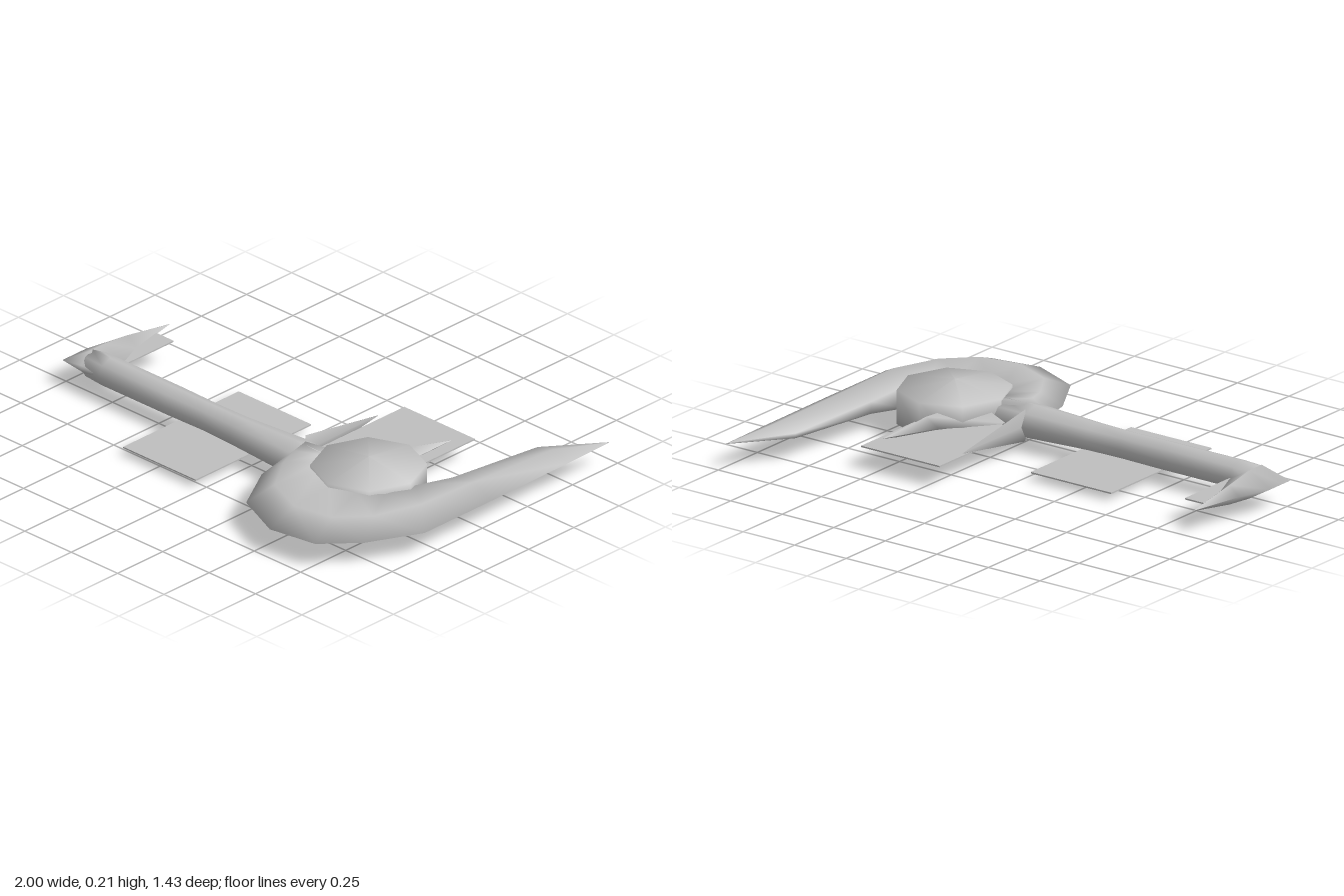
import * as THREE from 'three';

const MID = 0.105; // height of the central plane

// Skin a list of equal-length rings of [x, y, z] points, with both ends capped
function loft(rings) {
  const n = rings[0].length, pos = [], idx = [];
  rings.forEach(r => r.forEach(p => pos.push(...p)));
  for (let i = 0; i < rings.length - 1; i++) {
    for (let j = 0; j < n; j++) {
      const a = i * n + j, b = i * n + (j + 1) % n;
      idx.push(a, b, b + n, a, b + n, a + n);
    }
  }
  const last = (rings.length - 1) * n;
  for (let j = 1; j < n - 1; j++) {
    idx.push(0, j + 1, j);
    idx.push(last, last + j, last + j + 1);
  }
  const g = new THREE.BufferGeometry();
  g.setAttribute('position', new THREE.Float32BufferAttribute(pos, 3));
  g.setIndex(idx);
  g.computeVertexNormals();
  return g;
}

// Diamond-section spike along -z; rows are [z, x min, x max, ridge x, half height]
function spike(rows) {
  return loft(rows.map(([z, x0, x1, xr, h]) => [
    [xr, MID + h, z], [x1, MID, z], [xr, MID - h, z], [x0, MID, z]
  ]));
}

export function createModel() {
  const group = new THREE.Group();
  const steel = new THREE.MeshStandardMaterial({ color: 0xbfbfbf, side: THREE.DoubleSide });
  steel.name = 'grey steel';
  const add = (name, geometry) => {
    const mesh = new THREE.Mesh(geometry, steel);
    mesh.name = name;
    group.add(mesh);
    return mesh;
  };

  // Handle: rows are [x, z centre, half width in z, half height]
  const handleRows = [
    [-0.9, 0.205, 0.06, 0.058], [-0.8, 0.21, 0.065, 0.06], [-0.45, 0.21, 0.064, 0.06],
    [-0.26, 0.21, 0.06, 0.058], [-0.1, 0.212, 0.066, 0.059], [0.19, 0.21, 0.088, 0.068],
    [0.36, 0.21, 0.08, 0.066]
  ];
  add('handle', loft(handleRows.map(([x, zc, w, h]) => {
    const ring = [];
    for (let k = 0; k < 8; k++) {
      const a = k * Math.PI / 4;
      ring.push([x, MID + h * Math.cos(a), zc + w * Math.sin(a)]);
    }
    return ring;
  })));

  // Pommel spike at the far end of the handle
  add('pommelSpike', spike([
    [0.27, -1, -0.8, -0.9, 0.012], [0.22, -1, -0.8, -0.9, 0.058], [0.14, -1, -0.8, -0.9, 0.058],
    [0.0, -0.955, -0.86, -0.91, 0.04], [-0.23, -0.911, -0.909, -0.91, 0.001]
  ]));

  // Crescent blade: rows are [outer x, z, inner x, z, bevel share, ridge half height, inner half height]
  const bladeRows = [
    [0.19, 0.2, 0.36, 0.16, 0.25, 0.068, 0.066],
    [0.19, 0.3, 0.36, 0.22, 0.35, 0.066, 0.066],
    [0.21, 0.41, 0.38, 0.28, 0.4, 0.06, 0.064],
    [0.33, 0.62, 0.44, 0.34, 0.4, 0.052, 0.062],
    [0.55, 0.715, 0.55, 0.38, 0.4, 0.052, 0.06],
    [0.76, 0.68, 0.66, 0.35, 0.4, 0.052, 0.06],
    [0.89, 0.54, 0.74, 0.27, 0.4, 0.054, 0.056],
    [1, 0.32, 0.76, 0.12, 0.42, 0.056, 0.045],
    [1, -0.05, 0.79, -0.05, 0.45, 0.048, 0.025],
    [0.995, -0.48, 0.83, -0.48, 0.45, 0.034, 0.01],
    [0.99, -0.715, 0.985, -0.71, 0.5, 0.001, 0.001]
  ];
  add('crescentBlade', loft(bladeRows.map(([ox, oz, ix, iz, t, h, hi]) => {
    const rx = ox + (ix - ox) * t, rz = oz + (iz - oz) * t;
    return [
      [rx, MID + h, rz], [ox, MID, oz], [rx, MID - h, rz], [ix, MID - hi, iz], [ix, MID + hi, iz]
    ];
  })));

  // Eight-sided hub disc with shallow domed faces
  const profile = [[0, 0.005], [0.226, 0.04], [0.226, 0.18], [0, 0.215]]
    .map(([r, y]) => new THREE.Vector2(r, y));
  const hub = add('hubDisc', new THREE.LatheGeometry(profile, 8));
  hub.position.set(0.548, 0, 0.165);

  // Barb pointing back from the hub
  add('backBarb', spike([
    [0.125, 0.27, 0.57, 0.42, 0.062], [-0.08, 0.44, 0.54, 0.5, 0.035],
    [-0.3, 0.539, 0.541, 0.54, 0.001]
  ]));

  // Thin upright fin beside the handle
  add('uprightFin', spike([
    [0.15, 0.191, 0.197, 0.194, 0.066], [-0.25, 0.193, 0.195, 0.194, 0.001]
  ]));

  // Flat plates: [name, x min, x max, z min, z max, y]
  [
    ['handlePlate', -0.42, -0.03, -0.11, 0.53, 0.035],
    ['hubPlate', 0.2, 0.58, -0.39, 0.24, 0.09],
    ['pommelPlate', -0.92, -0.8, -0.14, 0.2, 0.105]
  ].forEach(([name, x0, x1, z0, z1, y]) => {
    const plate = add(name, new THREE.BoxGeometry(x1 - x0, 0.006, z1 - z0));
    plate.position.set((x0 + x1) / 2, y, (z0 + z1) / 2);
  });

  return group;
}
